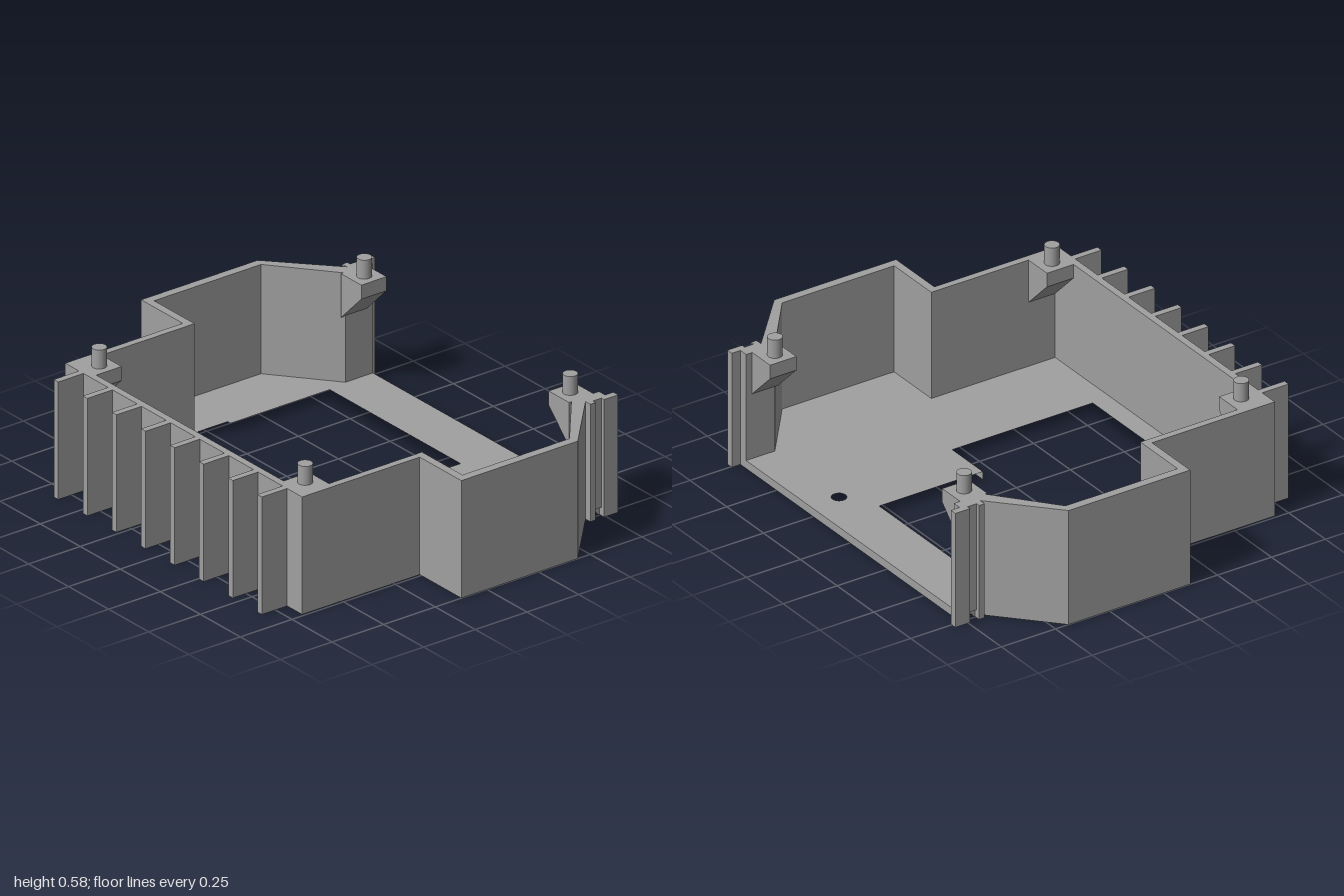
import * as THREE from 'three';

const grey = new THREE.MeshStandardMaterial({ color: 0xa0a0a0 });
grey.name = 'grey plastic';

const H = 0.5, FLOOR = 0.035;

export function createModel() {
  const model = new THREE.Group();
  model.name = 'openTray';

  const add = (name, geometry, x = 0, y = 0, z = 0) => {
    const mesh = new THREE.Mesh(geometry, grey);
    mesh.name = name;
    mesh.position.set(x, y, z);
    model.add(mesh);
  };
  const box = (name, x0, x1, y0, y1, z0, z1) =>
    add(name, new THREE.BoxGeometry(x1 - x0, y1 - y0, z1 - z0), (x0 + x1) / 2, (y0 + y1) / 2, (z0 + z1) / 2);
  const vectors = (pts) => pts.map(([a, b]) => new THREE.Vector2(a, b));
  // Plan outlines are [x, -z]; mirroring front to back closes the loop
  const mirrored = (half) => [...half, ...half.map(([x, v]) => [x, -v]).reverse()];
  const extrude = (shape, depth) =>
    new THREE.ExtrudeGeometry(shape, { depth, bevelEnabled: false, curveSegments: 24 });
  const upright = (shape, depth) => extrude(shape, depth).rotateX(-Math.PI / 2);

  // Floor plate with a stepped window and a small screw hole
  const floor = new THREE.Shape(vectors(mirrored([
    [-0.693, 0.74], [-0.124, 0.74], [-0.124, 1], [0.44, 1], [0.675, 0.745], [0.7, 0.745],
  ])));
  floor.holes.push(new THREE.Path(vectors([
    [-0.58, 0.71], [0.07, 0.71], [0.07, 0.692], [0.55, 0.692],
    [0.55, -0.125], [0.07, -0.125], [0.07, -0.333], [-0.58, -0.333],
  ])));
  floor.holes.push(new THREE.Path().absarc(0.637, -0.27, 0.03, 0, Math.PI * 2, true));
  add('floor', upright(floor, FLOOR));

  // Open-side sill with a V groove underneath
  const sill = new THREE.Shape(vectors([
    [0.7, 0], [0.703, 0], [0.72, 0.02], [0.737, 0], [0.77, 0], [0.77, FLOOR], [0.7, FLOOR],
  ]));
  add('groovedSill', extrude(sill, 1.412).translate(0, 0, -0.706));

  // Continuous wall, ending in a stepped rail at each open corner
  const wall = new THREE.Shape(vectors(mirrored([
    [-0.693, 0.74], [-0.124, 0.74], [-0.124, 1], [0.44, 1], [0.675, 0.745],
    [0.675, 0.775], [0.7, 0.775], [0.7, 0.758], [0.742, 0.758], [0.742, 0.775],
    [0.81, 0.775], [0.81, 0.745], [0.77, 0.745], [0.77, 0.706],
    [0.637, 0.706], [0.428, 0.963], [-0.09, 0.963], [-0.09, 0.71], [-0.663, 0.71],
  ])));
  add('wall', upright(wall, H - FLOOR).translate(0, FLOOR, 0));

  for (const s of [-1, 1]) {
    const span = (a, b) => (s > 0 ? [a, b] : [-b, -a]);
    // Rail feet, leaving the groove open
    box('railFoot', 0.675, 0.7, 0, FLOOR, ...span(0.745, 0.775));
    box('railFoot', 0.742, 0.81, 0, FLOOR, ...span(0.745, 0.775));
    add('sillEnd', extrude(sill, 0.04).translate(0, 0, s > 0 ? 0.706 : -0.746));

    // Corner brackets with sloped undersides, each carrying a pin
    for (const [x0, x1, pinX] of [[-0.67, -0.54, -0.603], [0.62, 0.742, 0.68]]) {
      const bracket = new THREE.Shape(vectors([
        [s * 0.585, H], [s * 0.585, 0.44], [s * 0.712, 0.313], [s * 0.712, H],
      ]));
      add('cornerBracket', extrude(bracket, x1 - x0).rotateY(-Math.PI / 2), x1);
      add('pin', new THREE.CylinderGeometry(0.03, 0.03, 0.085, 24), pinX, 0.5375, s * 0.643);
    }
  }

  // Row of fins on the closed side
  for (let i = 0; i < 8; i++) {
    const z = -0.64 + i * 0.1817;
    box('fin', -0.815, -0.69, 0, H, z - 0.014, z + 0.014);
  }
  return model;
}
